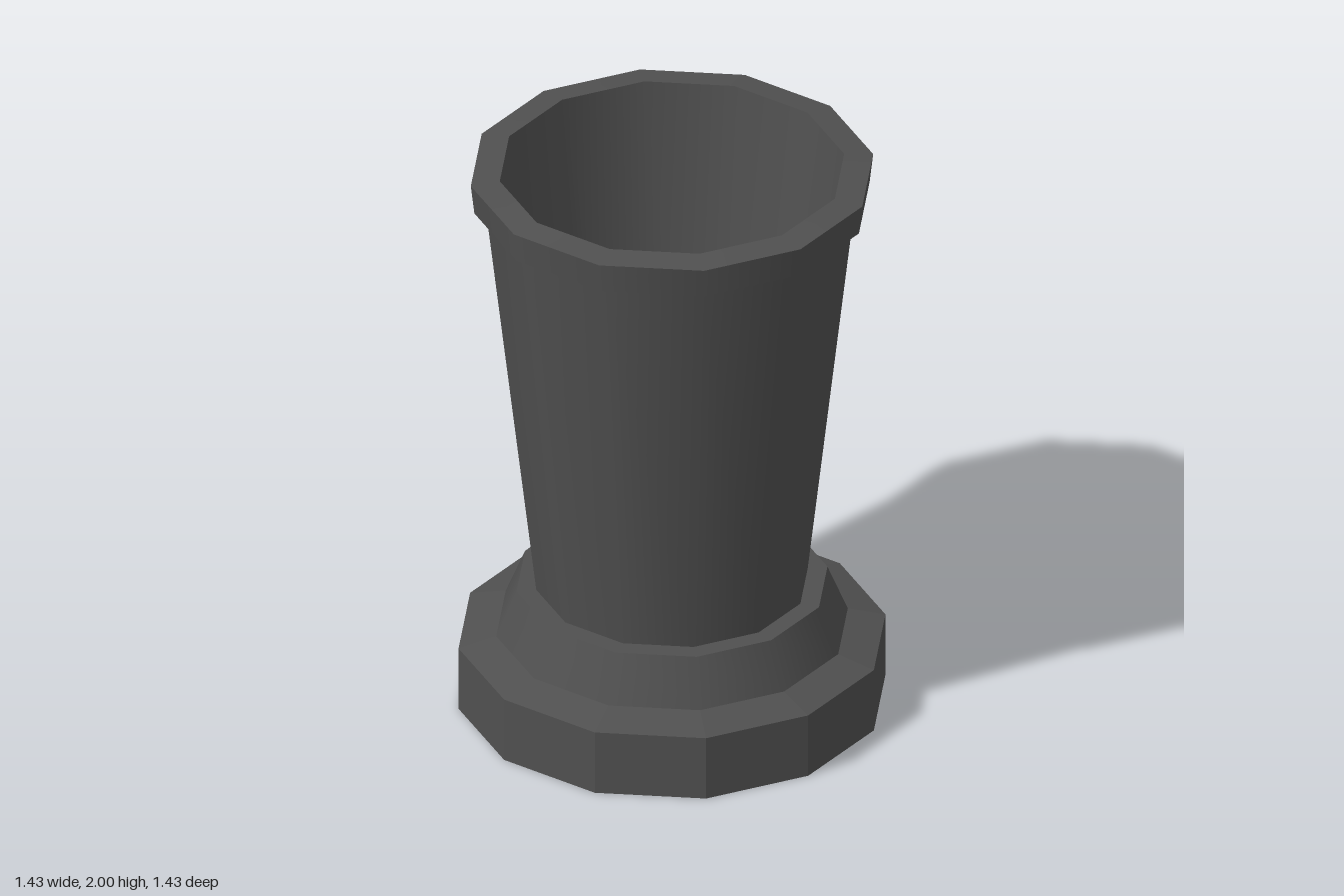
import * as THREE from 'three';
import { mergeGeometries } from 'three/addons/utils/BufferGeometryUtils.js';

const SIDES = 12;
const material = new THREE.MeshStandardMaterial({ color: 0x505050 });
const flatMaterial = new THREE.MeshStandardMaterial({ color: 0x505050, flatShading: true });

// Turns a profile of [radius, height] points; every profile corner stays sharp
// while each band is smooth around the axis.
function turned(name, profile, mat = material) {
  const bands = [];
  for (let i = 0; i < profile.length - 1; i++) {
    const pair = [profile[i], profile[i + 1]].map(([r, y]) => new THREE.Vector2(r, y));
    bands.push(new THREE.LatheGeometry(pair, SIDES));
  }
  const mesh = new THREE.Mesh(mergeGeometries(bands), mat);
  mesh.name = name;
  return mesh;
}

export function createModel() {
  const model = new THREE.Group();
  model.name = 'pot';

  // Faceted foot with a shallow recess underneath
  model.add(turned('foot', [
    [0, 0.1], [0.62, 0.1], [0.62, 0], [0.714, 0], [0.714, 0.23], [0.588, 0.265],
  ], flatMaterial));

  // Sloping collar around the bottom of the wall
  model.add(turned('collar', [[0.588, 0.265], [0.52, 0.43], [0.454, 0.43]]));

  // Tapered outer wall
  model.add(turned('wall', [[0.454, 0.43], [0.62, 1.872]]));

  // Projecting rim
  model.add(turned('rim', [[0.62, 1.872], [0.661, 1.885], [0.673, 1.99], [0.576, 2]]));

  // Hollow inside with its floor
  model.add(turned('inside', [[0.576, 2], [0.353, 0.14], [0, 0.14]]));

  return model;
}
